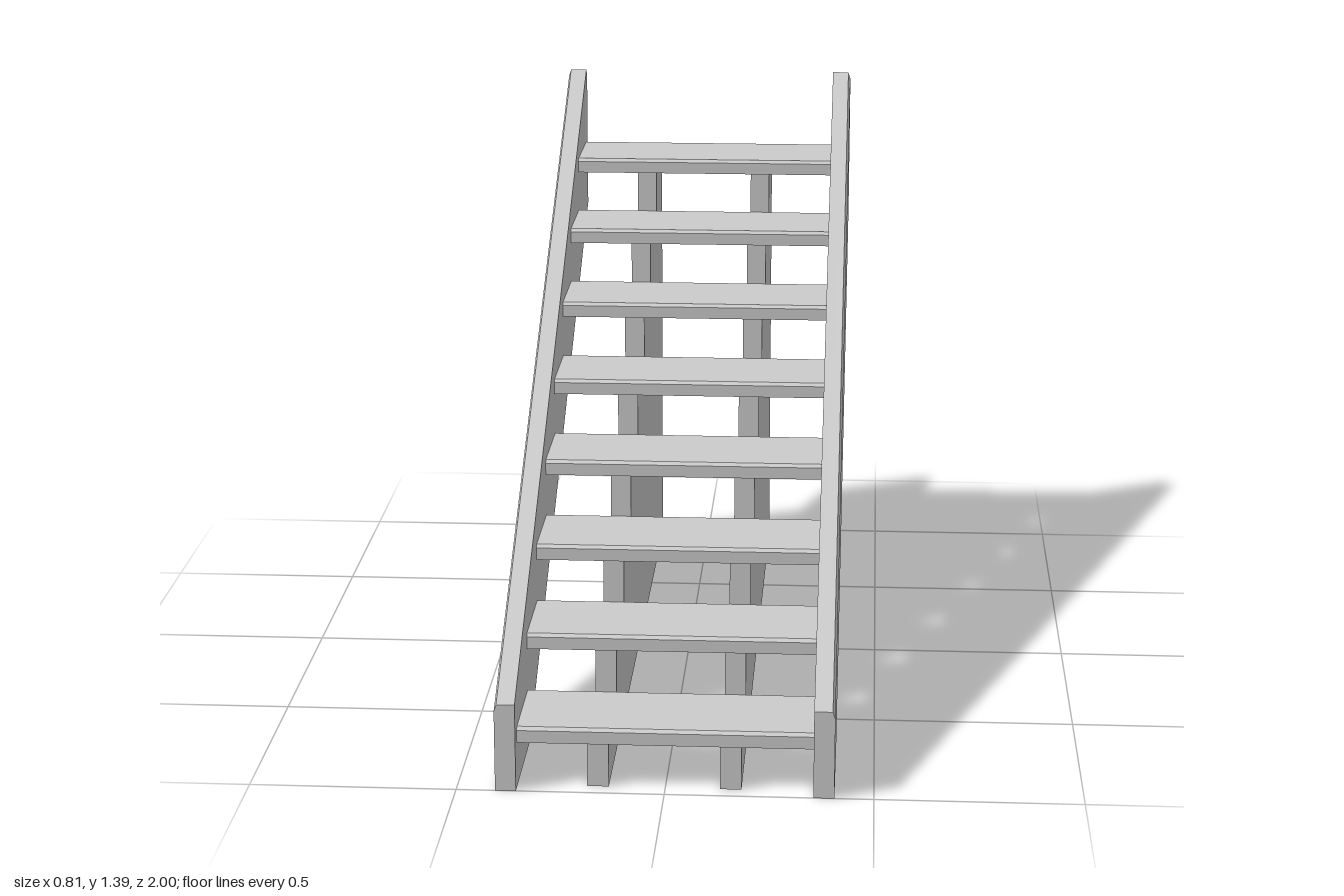
import * as THREE from 'three';
import { ConvexGeometry } from 'three/addons/geometries/ConvexGeometry.js';

const STEPS = 8, RUN = 0.24, RISE = 0.1484;
const material = new THREE.MeshStandardMaterial({ color: 0xcccccc, flatShading: true });

// Extrude a [z, y] side profile to a given width, centred on x
function sideExtrude(points, width) {
  const shape = new THREE.Shape(points.map(([z, y]) => new THREE.Vector2(z, y)));
  const geometry = new THREE.ExtrudeGeometry(shape, { depth: width, bevelEnabled: false });
  return geometry.translate(0, 0, -width / 2).rotateY(-Math.PI / 2);
}

function addMesh(parent, geometry, name, x = 0, y = 0, z = 0) {
  const mesh = new THREE.Mesh(geometry, material);
  mesh.name = name;
  mesh.position.set(x, y, z);
  parent.add(mesh);
}

// Sloping side board with a narrow chamfer along its outer top edge
function stringerGeometry(side) {
  const low = [[1, 0], [0.69, 0], [-1, 1]];
  const top = [[1, 0.22], [-0.98, 1.395], [-1, 1.375]];
  const points = [];
  const add = (x, list, drop = 0) =>
    list.forEach(([z, y]) => points.push(new THREE.Vector3(side * x, y - drop, z)));
  add(0.356, low);
  add(0.356, top);
  add(0.4, top);
  add(0.406, low);
  add(0.406, top, 0.018);
  return new ConvexGeometry(points);
}

export function createModel() {
  const group = new THREE.Group();
  group.name = 'staircase';

  // Side boards
  addMesh(group, stringerGeometry(1), 'leftStringer');
  addMesh(group, stringerGeometry(-1), 'rightStringer');

  // Treads with a chamfered front edge
  const tread = sideExtrude(
    [[0, 0], [0, 0.031], [-0.008, 0.039], [-0.242, 0.039], [-0.242, 0]], 0.712);
  for (let i = 0; i < STEPS; i++) {
    addMesh(group, tread, `tread${i + 1}`, 0, 0.11 + i * RISE, 0.965 - i * RUN);
  }

  // Saw-toothed supports beneath the treads
  const saw = [[-0.955, 0], [0.96, 0]];
  for (let i = 0; i < STEPS; i++) {
    const y = 0.11 + i * RISE;
    const back = i === STEPS - 1 ? -0.955 : 0.96 - (i + 1) * RUN;
    saw.push([0.96 - i * RUN, y], [back, y]);
  }
  const support = sideExtrude(saw, 0.052);
  addMesh(group, support, 'leftSupport', 0.157);
  addMesh(group, support, 'rightSupport', -0.162);

  return group;
}
